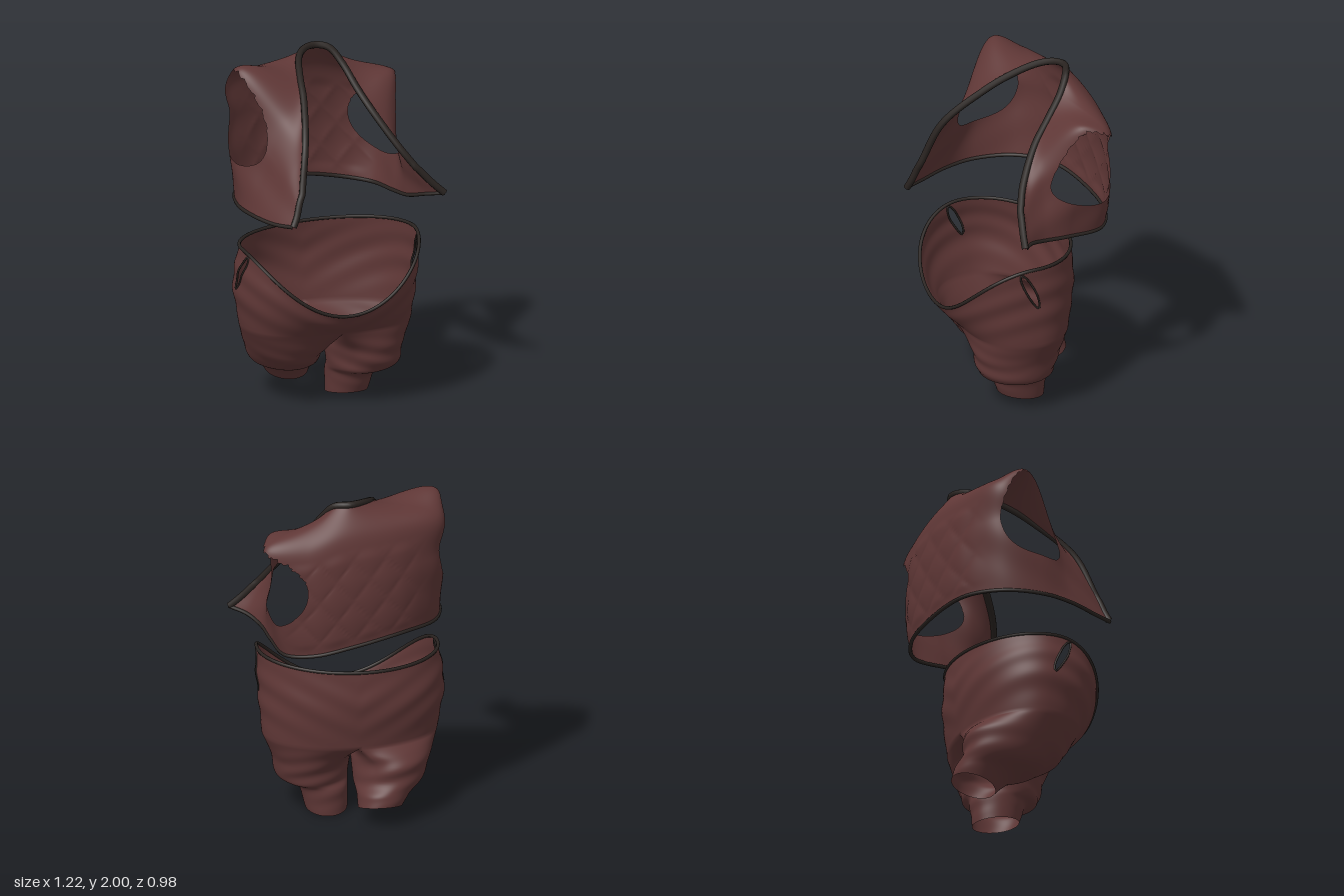
import * as THREE from 'three';
import { mergeGeometries, mergeVertices } from 'three/addons/utils/BufferGeometryUtils.js';

const V = (x, y, z) => new THREE.Vector3(x, y, z);
const { sin, cos, abs, max, PI, hypot, atan2 } = Math;
const smooth = THREE.MathUtils.smoothstep;

// Surface through a stack of rows, each row a function of u
const skin = (rows) => (u, v) => new THREE.CatmullRomCurve3(rows.map((r) => r(u))).getPoint(v);

// Grid mesh of f(u, v); grid points inside a hole slide to its rim
function sheet(f, nu, nv, holes = []) {
  const pos = [], inside = [], index = [];
  for (let j = 0; j <= nv; j++) {
    for (let i = 0; i <= nu; i++) {
      let u = i / nu, v = j / nv, hit = false;
      for (const h of holes) {
        const a = (u - h.u - h.slant * (v - h.v)) / h.ru, b = (v - h.v) / h.rv;
        const r = max(hypot(a, b), 1e-6), R = h.edge(atan2(b, a));
        if (r < R) {
          hit = true;
          v = h.v + (b * R / r) * h.rv;
          u = h.u + h.slant * (v - h.v) + (a * R / r) * h.ru;
        }
      }
      const p = f(u, v);
      pos.push(p.x, p.y, p.z);
      inside.push(hit);
    }
  }
  const tri = (a, b, c) => { if (!(inside[a] && inside[b] && inside[c])) index.push(a, b, c); };
  for (let j = 0; j < nv; j++) {
    for (let i = 0; i < nu; i++) {
      const a = j * (nu + 1) + i, c = a + nu + 1;
      tri(a, c, a + 1);
      tri(a + 1, c, c + 1);
    }
  }
  const g = new THREE.BufferGeometry();
  g.setAttribute('position', new THREE.Float32BufferAttribute(pos, 3));
  g.setIndex(index);
  return g;
}

// Vest guide lines, going round from the -x front over the back to the +x front
const hem = [
  V(-.41, 1.18, .48), V(-.48, 1.17, .36), V(-.55, 1.18, .18), V(-.57, 1.19, 0), V(-.5, 1.2, -.22),
  V(-.3, 1.21, -.38), V(0, 1.17, -.46), V(.22, 1.13, -.46), V(.37, 1.11, -.37), V(.42, 1.12, -.15),
  V(.45, 1.14, .02), V(.51, 1.17, .12), V(.6, 1.19, .2),
];
const collar = [
  V(-.34, 1.35, .43), V(-.28, 1.61, .32), V(-.21, 1.8, .1), V(-.18, 1.88, -.04), V(-.13, 1.95, -.2),
  V(-.07, 1.975, -.28), V(0, 1.98, -.31), V(.08, 1.965, -.28), V(.14, 1.88, -.22), V(.19, 1.76, -.12),
  V(.25, 1.64, -.01), V(.36, 1.46, .11), V(.44, 1.35, .16),
];
// Shoulder line; the flaps at both ends run straight from hem to collar
const shoulder = [
  V(-.35, 1.7, .16), V(-.53, 1.96, -.1), V(-.51, 1.86, -.27), V(-.27, 1.83, -.37), V(.02, 1.82, -.42),
  V(.25, 1.76, -.43), V(.48, 1.76, -.36), V(.45, 1.79, -.22), V(.34, 1.57, -.01),
];
const upper = hem.map((p, k) => shoulder[k - 2] ?? p.clone().lerp(collar[k], .75));
// Rows between hem and shoulder swell outward a little
const between = (t, swell) => hem.map((p, k) => {
  const q = p.clone().lerp(upper[k], t);
  const out = V(q.x + .05, 0, q.z + .05).normalize();
  return q.addScaledVector(out, swell * sin(PI * k / 12));
});
const vestRows = [hem, between(.31, .02), between(.65, .025), upper, collar].map((pts) => {
  const c = new THREE.CatmullRomCurve3(pts);
  return (u) => c.getPoint(u);
});
const vestSkin = skin(vestRows);

// Quilted diamonds on the back panel, soft folds elsewhere
function vestSurface(u, v) {
  const p = vestSkin(u, v);
  const back = smooth(u, .36, .42) * (1 - smooth(u, .6, .68)) * smooth(v, .02, .1) * (1 - smooth(v, .6, .68));
  const a = p.x * 16, b = p.y * 13;
  p.z -= .009 * back * Math.sqrt(abs(sin(a + b) * sin(a - b)));
  p.x += .006 * (1 - back) * sin(PI * v) * sin(p.y * 22 + p.z * 14);
  return p;
}

// Armholes with a torn upper edge
const torn = (a) => 1 - max(0, sin(a)) * (.08 * abs(sin(a * 13)) + .06 * abs(sin(a * 31 + 1)));
const armholes = [
  { u: 3.05 / 12, v: .5, ru: .92 / 12, rv: .25, slant: 0, edge: torn },
  { u: 8.38 / 12, v: .49, ru: 1.35 / 12, rv: .27, slant: 0, edge: torn },
];

// Hip cross-sections, squarer in front; u runs from the front centre toward +x
const hipRow = (cx, cz, rx, rz, height) => (u) => {
  const t = u * 2 * PI, square = cos(t) > 0 ? .35 * sin(t) ** 2 : 0;
  return V(cx + rx * sin(t), height(t), cz + rz * cos(t) * (1 + square));
};
const rimY = (t) => (cos(t) > 0 ? .61 + .35 * sin(t) ** 2 : .945 + .015 * sin(t) ** 2) + .013 * sin(t);
const hipRows = [
  hipRow(-.055, .075, .515, .385, rimY),
  hipRow(-.07, .045, .53, .375, (t) => rimY(t) * .55 + .47 * .45),
  hipRow(-.06, .025, .5, .315, () => .47),
];
const hipSkin = skin(hipRows);
function hipSurface(u, v) {
  const p = hipSkin(u, v);
  const k = 1 + .01 * sin(PI * v) * sin(p.y * 38 - abs(p.x + .06) * 22 + p.z * 5);
  return V(-.06 + (p.x + .06) * k, p.y, .03 + (p.z - .03) * k);
}

// Leg: half of the hip ring closed by a crotch line, lofted down to the cuff
const SPLIT = 80 / 104;
function legSurface(half, rings) {
  const top = (u) => {
    if (u <= SPLIT) return hipRows[2](half / 2 + (u / SPLIT) / 2);
    const t = (u - SPLIT) / (1 - SPLIT);
    const p = hipRows[2](half / 2 + .5).lerp(hipRows[2](half / 2), t);
    p.y -= .09 * sin(PI * t);
    return p;
  };
  const rows = rings.map(([cx, y, cz, rx, rz, tilt]) => (u) => {
    const a = u <= SPLIT ? -.2 * PI + 1.4 * PI * u / SPLIT : 1.2 * PI + .6 * PI * (u - SPLIT) / (1 - SPLIT);
    const t = a + half * PI;
    return V(cx + rx * sin(t), y + tilt * cos(t), cz + rz * cos(t));
  });
  const f = skin([top, ...rows]);
  return (u, v) => {
    const p = f(u, v), w = .006 * sin(PI * v) * sin(p.y * 60 + p.x * 14 + p.z * 8);
    p.z += w * Math.sign(p.z) * smooth(abs(p.z), 0, .1);
    return p;
  };
}
// Leg rings: centre x, y, z, radius x, z, tilt
const legs = [
  legSurface(0, [[.158, .33, .06, .225, .25, 0], [.152, .205, .06, .202, .21, 0],
    [.1, .16, .02, .145, .165, 0], [.08, .025, 0, .12, .135, .02]]),
  legSurface(1, [[-.275, .33, -.07, .222, .275, -.05], [-.25, .225, -.13, .195, .225, -.02],
    [-.21, .17, -.22, .15, .165, -.02], [-.185, .105, -.265, .125, .125, -.035]]),
];

// Narrow side slits below the waist
const slits = [1, -1].map((s) => ({
  u: s > 0 ? .235 : .765, v: .29, ru: .008, rv: .25, slant: s * .045, edge: () => 1,
}));

export function createModel() {
  const cloth = new THREE.MeshStandardMaterial({ color: 0x5f3736, side: THREE.DoubleSide });
  cloth.name = 'brown cloth';
  const dark = new THREE.MeshStandardMaterial({ color: 0x292320 });
  dark.name = 'dark trim';

  const model = new THREE.Group();
  const vest = new THREE.Group(), trousers = new THREE.Group();
  vest.name = 'vest';
  trousers.name = 'trousers';
  model.add(vest, trousers);

  const add = (group, name, parts) => {
    const g = mergeVertices(mergeGeometries(parts));
    g.computeVertexNormals();
    const m = new THREE.Mesh(g, cloth);
    m.name = name;
    group.add(m);
  };
  const trim = (group, name, f, radius, closed = false, n = 60) => {
    const pts = [];
    for (let i = 0; i < n + (closed ? 0 : 1); i++) pts.push(f(i / n));
    const path = new THREE.CatmullRomCurve3(pts, closed);
    const m = new THREE.Mesh(new THREE.TubeGeometry(path, n * 2, radius, 8, closed), dark);
    m.name = name;
    group.add(m);
  };

  // Vest with its front edge and hem
  add(vest, 'vestBody', [sheet(vestSurface, 216, 80, armholes)]);
  trim(vest, 'vestFrontEdge', (t) => {
    if (t < .1) return vestSurface(0, t * 10);
    if (t > .9) return vestSurface(1, (1 - t) * 10);
    return vestSurface((t - .1) / .8, 1);
  }, .02);
  trim(vest, 'vestHem', (t) => vestSurface(t, 0), .011);

  // Trousers with waistband and slit edges
  add(trousers, 'trouserBody', [
    sheet(hipSurface, 160, 32, slits),
    ...legs.map((f) => sheet(f, 104, 40)),
  ]);
  trim(trousers, 'waistband', (t) => hipSurface(t, 0), .01, true);
  slits.forEach((h) => trim(trousers, 'slitEdge', (t) => {
    const v = h.v + h.rv * sin(t * 2 * PI);
    return hipSurface(h.u + h.slant * (v - h.v) + h.ru * cos(t * 2 * PI), v);
  }, .006, true, 32));

  return model;
}
